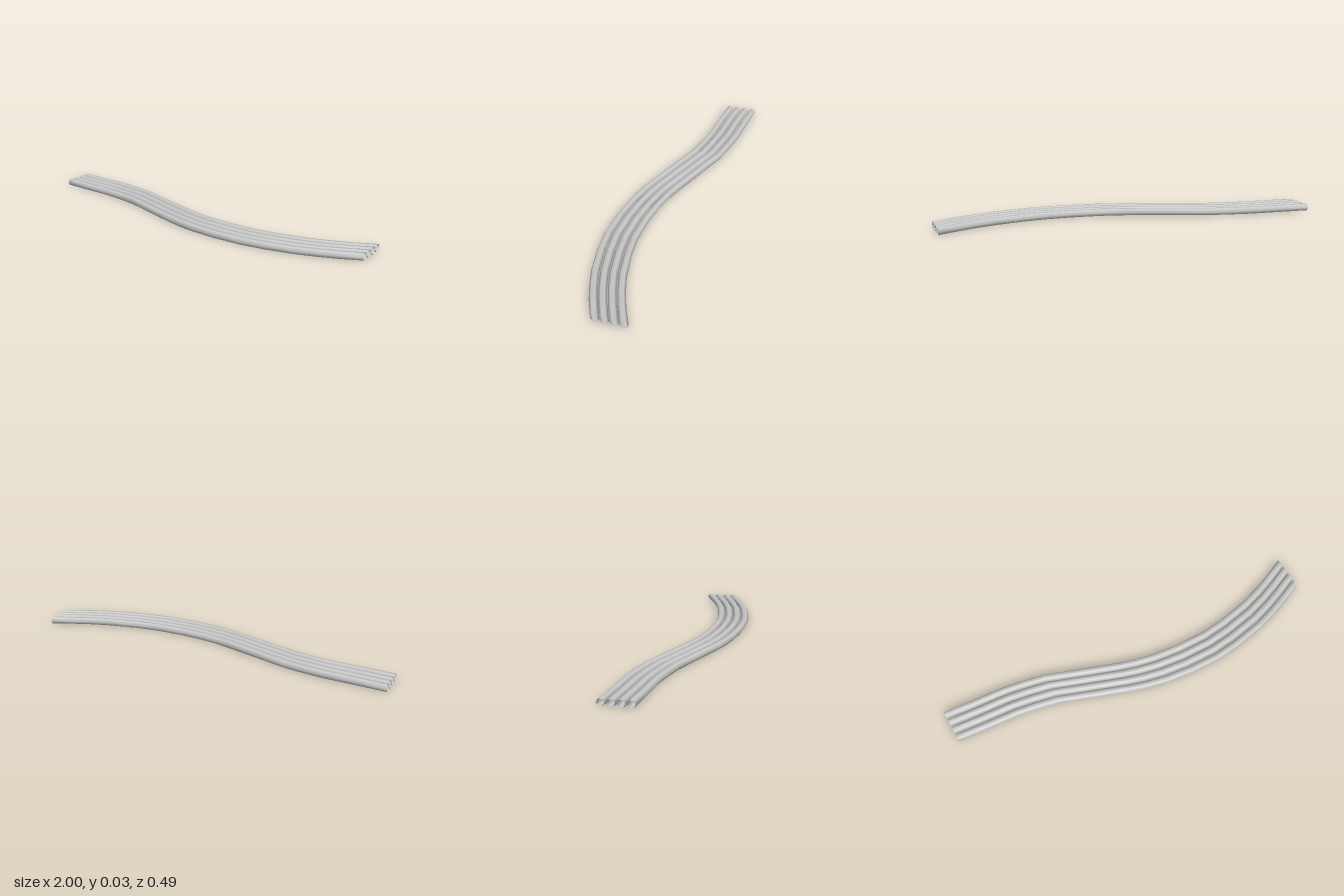
import * as THREE from 'three';

// Shared centreline of the strands as [x, z]
const PATH = [
  [-1, -0.155], [-0.85, -0.138], [-0.67, -0.119], [-0.56, -0.097], [-0.45, -0.07],
  [-0.27, 0], [-0.085, 0.07], [0, 0.099], [0.1, 0.124], [0.24, 0.145], [0.4, 0.154],
  [0.53, 0.145], [0.69, 0.118], [0.8, 0.087], [0.89, 0.055], [1, 0.0075],
];
const SIDES = 6, RADIUS = 0.02, SPACING = 0.0467;
const HALF_HEIGHT = RADIUS * Math.sin(Math.PI / 3);

// Open hexagonal tube, cut square to x, widened where the path slopes
function strandGeometry() {
  const positions = [], index = [];
  PATH.forEach(([x, z], i) => {
    const a = PATH[Math.max(i - 1, 0)], b = PATH[Math.min(i + 1, PATH.length - 1)];
    const widen = Math.hypot(1, (b[1] - a[1]) / (b[0] - a[0]));
    for (let j = 0; j < SIDES; j++) {
      const t = (j / SIDES) * Math.PI * 2;
      positions.push(x, HALF_HEIGHT + RADIUS * Math.sin(t), z + RADIUS * widen * Math.cos(t));
      if (i === PATH.length - 1) continue;
      const p = i * SIDES + j, q = i * SIDES + (j + 1) % SIDES;
      index.push(p, p + SIDES, q, q, p + SIDES, q + SIDES);
    }
  });
  const geometry = new THREE.BufferGeometry();
  geometry.setAttribute('position', new THREE.Float32BufferAttribute(positions, 3));
  geometry.setIndex(index);
  geometry.computeVertexNormals();
  return geometry;
}

export function createModel() {
  const group = new THREE.Group();
  group.name = 'wavyStrands';
  const material = new THREE.MeshStandardMaterial({ color: 0xcccccc, side: THREE.DoubleSide });
  const geometry = strandGeometry();

  // Four identical strands side by side
  for (let i = 0; i < 4; i++) {
    const strand = new THREE.Mesh(geometry, material);
    strand.name = `strand${i + 1}`;
    strand.position.z = (i - 1.5) * SPACING;
    group.add(strand);
  }
  return group;
}
